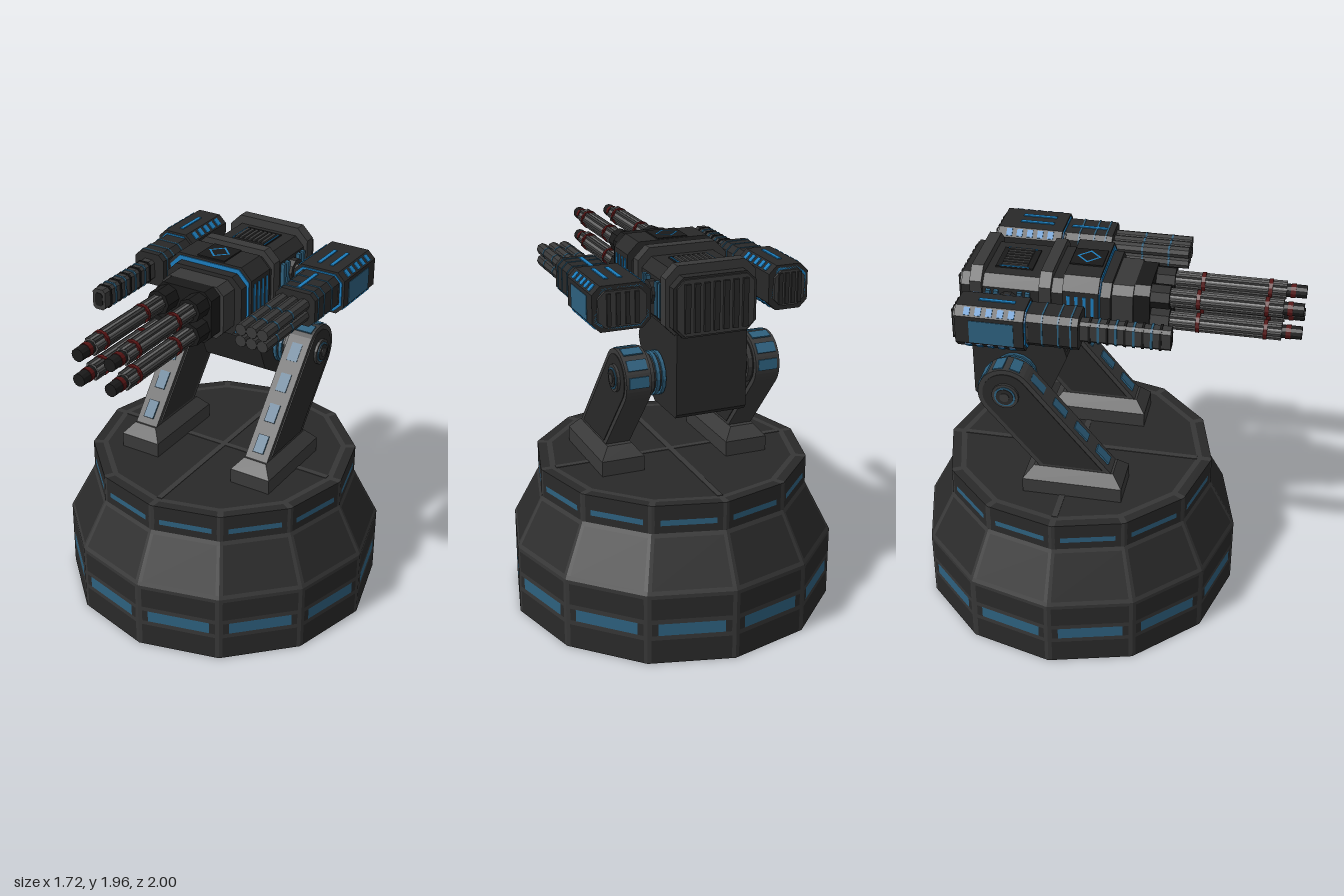
import * as THREE from 'three';

const mat = (color, opts = {}) => new THREE.MeshStandardMaterial({ color, flatShading: true, ...opts });
const M = {
  dark: mat(0x292929), trim: mat(0x393939), black: mat(0x1a1a1a), steel: mat(0x666666),
  red: mat(0x551414), window: mat(0x2d607e), glow: mat(0x1b7cbc),
};
const twoSided = (color) => mat(color, { side: THREE.DoubleSide });

function add(parent, name, geo, material, x = 0, y = 0, z = 0) {
  const m = new THREE.Mesh(geo, material);
  m.name = name;
  m.position.set(x, y, z);
  parent.add(m);
  return m;
}
// Box given by its ranges
function box(parent, name, material, [x0, x1], [y0, y1], [z0, z1]) {
  return add(parent, name, new THREE.BoxGeometry(Math.abs(x1 - x0), y1 - y0, Math.abs(z1 - z0)), material,
    (x0 + x1) / 2, (y0 + y1) / 2, (z0 + z1) / 2);
}
// Block along z with chamfered corners
function octBlock(parent, name, material, [x0, x1], [y0, y1], [z0, z1], c) {
  const s = new THREE.Shape([[x0 + c, y0], [x1 - c, y0], [x1, y0 + c], [x1, y1 - c], [x1 - c, y1],
    [x0 + c, y1], [x0, y1 - c], [x0, y0 + c]].map((p) => new THREE.Vector2(...p)));
  const g = new THREE.ExtrudeGeometry(s, { depth: z1 - z0, bevelEnabled: false });
  return add(parent, name, g, material, 0, 0, z0);
}
// Side profile (drawn with -z to the right) extruded across x
function sideBlock(parent, name, material, shape, x0, x1) {
  const g = new THREE.ExtrudeGeometry(shape, { depth: x1 - x0, bevelEnabled: false, curveSegments: 10 });
  return add(parent, name, g.rotateY(Math.PI / 2), material, x0);
}
function cylX(parent, name, material, r, x0, x1, y, z, sides = 16) {
  const g = new THREE.CylinderGeometry(r, r, Math.abs(x1 - x0), sides).rotateZ(Math.PI / 2);
  return add(parent, name, g, material, (x0 + x1) / 2, y, z);
}
function cylZ(parent, name, material, r, z0, z1, x, y, sides = 12) {
  const g = new THREE.CylinderGeometry(r, r, z1 - z0, sides).rotateX(Math.PI / 2);
  return add(parent, name, g, material, x, y, (z0 + z1) / 2);
}

// Twelve-sided open shell, tiled with panels, ribs and light strips
function buildBase(root) {
  const base = new THREE.Group();
  base.name = 'base';
  base.position.z = -0.14;
  root.add(base);
  const tiles = { panel: [], rib: [], window: [] };
  const rows = [
    [0.86, 0, 0.86, 0.13, 'panel'], [0.86, 0.13, 0.86, 0.155, 'rib'], [0.86, 0.155, 0.86, 0.22, 'window'],
    [0.86, 0.22, 0.86, 0.245, 'rib'], [0.86, 0.245, 0.86, 0.36, 'panel'], [0.86, 0.36, 0.86, 0.38, 'rib'],
    [0.86, 0.38, 0.85, 0.4, 'rib'], [0.85, 0.4, 0.73, 0.63, 'panel'], [0.73, 0.63, 0.72, 0.65, 'rib'],
    [0.72, 0.65, 0.72, 0.69, 'panel'], [0.72, 0.69, 0.72, 0.72, 'window'], [0.72, 0.72, 0.72, 0.8, 'panel'],
    [0.72, 0.8, 0.67, 0.8, 'panel'], [0.67, 0.8, 0.64, 0.8, 'rib'], [0.64, 0.8, 0, 0.8, 'panel'],
  ];
  const corner = (r, i) => [r * Math.sin(i * Math.PI / 6), r * Math.cos(i * Math.PI / 6)];
  const at = (r, y, i, u) => {
    const a = corner(r, i), b = corner(r, i + 1);
    return [a[0] + (b[0] - a[0]) * u, y, a[1] + (b[1] - a[1]) * u];
  };
  for (let i = 0; i < 12; i++) for (const [r0, y0, r1, y1, kind] of rows) {
    const e = r1 === 0 ? 0 : 0.045;
    const spans = kind === 'window'
      ? [[0, 0.05, 'rib'], [0.05, 0.12, 'panel'], [0.12, 0.88, 'window'], [0.88, 0.95, 'panel'], [0.95, 1, 'rib']]
      : [[0, e, 'rib'], [e, 1 - e, kind], [1 - e, 1, 'rib']];
    for (const [u0, u1, k] of spans) {
      if (u1 <= u0) continue;
      const a = at(r0, y0, i, u0), b = at(r0, y0, i, u1), c = at(r1, y1, i, u1), d = at(r1, y1, i, u0);
      tiles[k].push(...a, ...b, ...c, ...a, ...c, ...d);
    }
  }
  const looks = { panel: ['baseShell', 0x292929], rib: ['baseRibs', 0x363636], window: ['baseLights', 0x2d607e] };
  for (const k in tiles) {
    const g = new THREE.BufferGeometry();
    g.setAttribute('position', new THREE.Float32BufferAttribute(tiles[k], 3));
    g.computeVertexNormals();
    add(base, looks[k][0], g, twoSided(looks[k][1]));
  }
  // Seams across the deck
  box(base, 'deckSeam', M.trim, [-0.015, 0.015], [0.795, 0.803], [-0.64, 0.64]);
  box(base, 'deckSeam', M.trim, [-0.64, 0.64], [0.795, 0.803], [-0.015, 0.015]);
}

// Leaning leg with rounded top, standing on a bevelled foot
function legShape(i) {
  const s = new THREE.Shape(), r = 0.145 - i, dx = i / 0.759, tilt = i * 0.859;
  s.moveTo(-0.115 + dx + tilt, 0.93 + i);
  s.lineTo(0.432 - r * 0.759, 1.36 + r * 0.652);
  s.absarc(0.432, 1.36, r, 2.432, -0.71, true);
  s.lineTo(0.26 - dx + tilt, 0.93 + i);
  return s;
}
function buildLeg(root, s) {
  const leg = new THREE.Group();
  leg.name = s > 0 ? 'leftLeg' : 'rightLeg';
  root.add(leg);
  const cx = 0.345 * s;
  box(leg, 'foot', M.trim, [cx - 0.115, cx + 0.115], [0.8, 0.88], [-0.35, 0.17]);
  const bevel = new THREE.BoxGeometry(0.23, 0.06, 0.52), p = bevel.attributes.position;
  for (let i = 0; i < p.count; i++) if (p.getY(i) > 0) p.setXYZ(i, p.getX(i) * 0.57, 0.03, p.getZ(i) * 0.8);
  add(leg, 'footBevel', bevel, M.trim, cx, 0.91, -0.09);
  sideBlock(leg, 'legArm', M.trim, legShape(0), cx - 0.065, cx + 0.065);
  sideBlock(leg, 'legPanel', M.dark, legShape(0.025), cx - 0.069, cx + 0.069);
  // Lights up the front edge and over the rounded end
  for (const y of [1.01, 1.14, 1.27, 1.4]) {
    const z = -0.115 * -1 - (y - 0.94) * 0.859;
    add(leg, 'legLight', new THREE.BoxGeometry(0.06, 0.1, 0.01), M.window, cx, y, z).rotation.x = -0.71;
  }
  for (const t of [-1.25, -1.85, -2.45, -3.05]) {
    add(leg, 'legEndLight', new THREE.BoxGeometry(0.1, 0.055, 0.01), M.window,
      cx, 1.36 - 0.144 * Math.sin(t), -0.432 + 0.144 * Math.cos(t)).rotation.x = t;
  }
  // Pivot joint
  [[0.07, 0.41, 0.428, M.trim], [0.055, 0.41, 0.432, M.window], [0.045, 0.41, 0.436, M.dark], [0.025, 0.41, 0.44, M.trim],
    [0.1, 0.17, 0.29, M.dark], [0.112, 0.19, 0.208, M.window], [0.112, 0.22, 0.238, M.window], [0.115, 0.252, 0.285, M.trim]]
    .forEach(([r, a, b, m]) => cylX(leg, 'pivotRing', m, r, a * s, b * s, 1.36, -0.432));
}

// Neck and main gun housing
function buildHead(root) {
  const head = new THREE.Group();
  head.name = 'gunHead';
  root.add(head);
  const neck = new THREE.Shape([[0.21, 1.62], [0.165, 1.47], [0.25, 1.27], [0.38, 1.19], [0.645, 1.19], [0.66, 1.21], [0.66, 1.62]]
    .map((q) => new THREE.Vector2(...q)));
  sideBlock(head, 'neck', M.dark, neck, -0.185, 0.185);
  for (const x of [-0.115, 0, 0.115])
    add(head, 'neckPanel', new THREE.BoxGeometry(0.1, 0.08, 0.012), M.trim, x, 1.535, -0.184).rotation.x = -0.29;
  octBlock(head, 'rearHousing', M.dark, [-0.215, 0.215], [1.61, 1.91], [-0.69, -0.2], 0.05);
  for (const z of [-0.64, -0.29]) octBlock(head, 'housingRib', M.trim, [-0.235, 0.235], [1.6, 1.955], [z, z + 0.06], 0.06);
  octBlock(head, 'frontHousing', M.dark, [-0.22, 0.22], [1.605, 1.92], [-0.23, 0.065], 0.055);
  octBlock(head, 'housingCollar', M.dark, [-0.245, 0.245], [1.58, 1.955], [-0.17, 0.01], 0.06);
  octBlock(head, 'collarLight', M.glow, [-0.232, 0.232], [1.593, 1.942], [-0.165, 0.015], 0.058);
  octBlock(head, 'gunBlock', M.trim, [-0.18, 0.18], [1.62, 1.9], [0.06, 0.17], 0.04);
  octBlock(head, 'gunBlockFront', M.black, [-0.16, 0.16], [1.625, 1.9], [0.17, 0.25], 0.04);
  // Rear cooling plate with fins
  octBlock(head, 'rearPlate', M.trim, [-0.2, 0.2], [1.62, 1.9], [-0.7, -0.69], 0.04);
  for (let i = 0; i < 7; i++) {
    const x = -0.15 + i * 0.05;
    box(head, 'rearFin', M.dark, [x - 0.014, x + 0.014], [1.64, 1.88], [-0.715, -0.69]);
  }
  // Top vent and hatch with diamond
  box(head, 'ventFrame', M.black, [-0.1, 0.1], [1.9, 1.918], [-0.54, -0.35]);
  for (let i = 0; i < 7; i++) {
    const x = -0.078 + i * 0.026;
    box(head, 'ventSlat', M.trim, [x - 0.008, x + 0.008], [1.91, 1.928], [-0.51, -0.38]);
  }
  for (const s of [-1, 1]) box(head, 'ventLight', M.glow, [s * 0.092, s * 0.098], [1.91, 1.922], [-0.52, -0.37]);
  box(head, 'hatch', M.black, [-0.08, 0.08], [1.95, 1.962], [-0.165, 0]);
  const diamond = new THREE.RingGeometry(0.048, 0.062, 4).rotateX(-Math.PI / 2);
  add(head, 'diamondLight', diamond, M.glow, 0, 1.964, -0.083);
  for (const s of [-1, 1]) {
    for (const z of [-0.14, -0.1, -0.06, -0.02])
      box(head, 'sideLight', M.glow, [s * 0.24, s * 0.248], [1.66, 1.87], [z - 0.008, z + 0.008]);
    for (const z of [-0.55, -0.51, -0.39, -0.35])
      box(head, 'sideVent', M.window, [s * 0.21, s * 0.235], [1.68, 1.85], [z - 0.012, z + 0.012]);
    cylX(head, 'podArm', M.trim, 0.037, s * 0.2, s * 0.33, 1.785, -0.45, 10);
    cylX(head, 'podArmCollar', M.dark, 0.06, s * 0.2, s * 0.25, 1.785, -0.45, 10);
  }
  // Four main barrels
  for (const x of [-0.09, 0.09]) for (const y of [1.7, 1.83]) {
    const b = new THREE.Group();
    b.name = 'barrel';
    head.add(b);
    cylZ(b, 'barrelSocket', M.black, 0.064, 0.24, 0.345, x, y, 8);
    cylZ(b, 'barrelTube', M.steel, 0.04, 0.3, 0.9, x, y, 12);
    for (let k = 0; k < 6; k++) {
      const a = k * Math.PI / 3;
      cylZ(b, 'barrelFlute', M.trim, 0.013, 0.3, 0.9, x + 0.035 * Math.cos(a), y + 0.035 * Math.sin(a), 6);
    }
    for (const z of [0.475, 0.81]) cylZ(b, 'barrelBand', M.red, 0.05, z, z + 0.02, x, y);
    cylZ(b, 'muzzle', M.black, 0.033, 0.89, 1, x, y);
    cylZ(b, 'muzzleBand', M.red, 0.036, 0.92, 0.945, x, y);
  }
}

// Side weapon pods: body, forward shroud, lights
function buildPod(root, name, [x0, x1], [m0, m1], bars) {
  const pod = new THREE.Group(), out = Math.sign(x0 + x1), cx = (x0 + x1) / 2;
  pod.name = name;
  root.add(pod);
  octBlock(pod, 'podBody', M.dark, [x0, x1], [1.675, 1.9], [-0.64, -0.3], 0.04);
  octBlock(pod, 'podLightRim', M.glow, [x0 + 0.012, x1 - 0.012], [1.687, 1.888], [-0.64, -0.294], 0.04);
  octBlock(pod, 'podFace', M.trim, [x0 + 0.024, x1 - 0.024], [1.699, 1.876], [-0.655, -0.285], 0.035);
  octBlock(pod, 'podShroud', M.dark, [m0, m1], [1.705, 1.88], [-0.3, -0.04], 0.03);
  for (const z of [-0.22, -0.14, -0.08])
    octBlock(pod, 'shroudBand', M.window, [m0 - 0.003, m1 + 0.003], [1.702, 1.883], [z, z + 0.008], 0.03);
  const side = out > 0 ? x1 : x0;
  box(pod, 'sideWindow', M.window, [side - 0.003, side + 0.003], [1.72, 1.84], [-0.57, -0.35]);
  // Small lights along both chamfers, top and bottom
  for (let i = 0; i < 5; i++) for (const s of [-1, 1]) for (const t of [-1, 1]) {
    const l = add(pod, 'chamferLight', new THREE.BoxGeometry(0.04, 0.01, 0.03), M.glow,
      cx + s * ((x1 - x0) / 2 - 0.02), 1.7875 + t * 0.0925, -0.58 + i * 0.055);
    l.rotation.z = -s * t * Math.PI / 4;
  }
  for (const x of bars) box(pod, 'topLight', M.glow, [x - 0.01, x + 0.01], [1.895, 1.905], [-0.54, -0.36]);
  for (let i = 0; i < 4; i++) {
    const x = x0 + (x1 - x0) * (0.26 + i * 0.16);
    box(pod, 'podRearFin', M.dark, [x - 0.01, x + 0.01], [1.71, 1.865], [-0.665, -0.65]);
  }
  return pod;
}

export function createModel() {
  const root = new THREE.Group();
  root.name = 'turret';
  buildBase(root);
  for (const s of [-1, 1]) buildLeg(root, s);
  buildHead(root);

  // Left pod: cluster of six short barrels
  const left = buildPod(root, 'leftPod', [0.31, 0.603], [0.355, 0.577], [0.425, 0.495]);
  box(left, 'shroudLight', M.glow, [0.45, 0.47], [1.875, 1.885], [-0.27, -0.08]);
  for (const x of [0.396, 0.456, 0.516]) for (const y of [1.76, 1.82]) {
    cylZ(left, 'clusterBarrel', M.trim, 0.031, -0.05, 0.365, x, y, 8);
    for (const z of [0.115, 0.255]) cylZ(left, 'clusterBand', M.window, 0.033, z, z + 0.01, x, y, 8);
  }
  // Right pod: single banded square barrel
  const right = buildPod(root, 'rightPod', [-0.515, -0.305], [-0.49, -0.315], [-0.41]);
  octBlock(right, 'singleBarrel', M.trim, [-0.445, -0.37], [1.735, 1.845], [-0.05, 0.4], 0.015);
  octBlock(right, 'singleBore', M.black, [-0.43, -0.385], [1.755, 1.825], [0.39, 0.403], 0.01);
  for (let i = 0; i < 9; i++)
    octBlock(right, 'singleBand', i % 2 ? M.window : M.black, [-0.449, -0.366], [1.731, 1.849], [0.0 + i * 0.043, 0.012 + i * 0.043], 0.015);
  return root;
}
